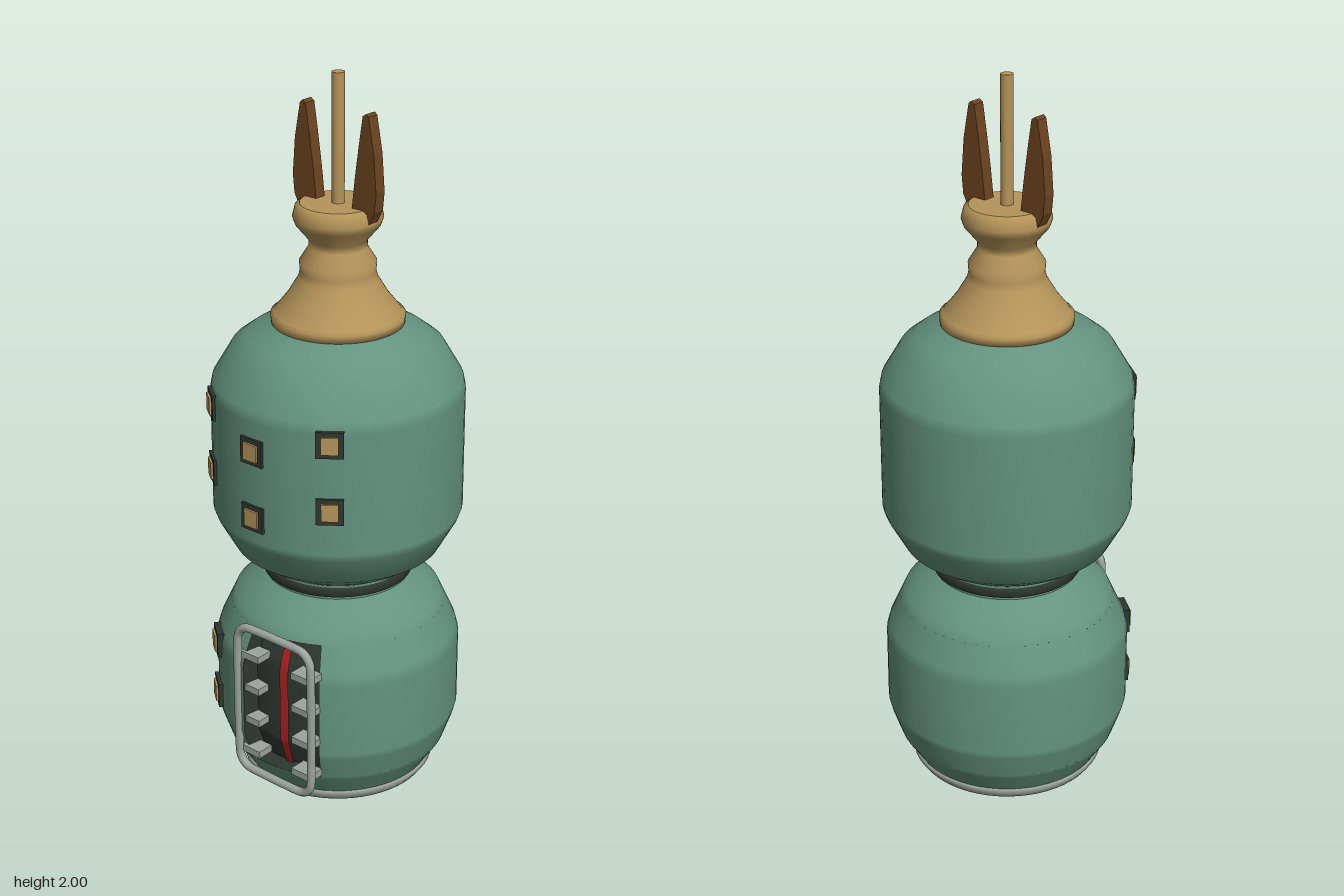
import * as THREE from 'three';

const mat = (name, color, side = THREE.FrontSide) => {
  const m = new THREE.MeshStandardMaterial({ color, side });
  m.name = name;
  return m;
};

export function createModel() {
  const green = mat('shell green', 0x64937f);
  const gold = mat('brass', 0xb5945a);
  const brown = mat('horn brown', 0x6b4420);
  const grey = mat('pale metal', 0x9ca59f);
  const dark = mat('dark recess', 0x2f3731, THREE.DoubleSide);
  const red = mat('red strip', 0xa52222, THREE.DoubleSide);

  const model = new THREE.Group();
  model.name = 'lanternTower';
  const body = new THREE.Group();
  body.name = 'body';
  body.position.z = -0.008;
  model.add(body);

  const add = (name, geometry, material, parent = body) => {
    const m = new THREE.Mesh(geometry, material);
    m.name = name;
    parent.add(m);
    return m;
  };
  const lathe = (name, pts, material, start = 0, length = Math.PI * 2) =>
    add(name, new THREE.LatheGeometry(pts.map(p => new THREE.Vector2(...p)),
      Math.max(3, Math.round(length * 9)), start, length), material);

  // Lower shell, with a doorway left out of its middle band
  const lower = [[0.26, 0.03], [0.305, 0.1], [0.333, 0.18], [0.338, 0.2], [0.338, 0.41],
    [0.33, 0.44], [0.285, 0.54], [0.245, 0.575], [0.2, 0.605]];
  const radiusAt = y => {
    const i = lower.findIndex(p => p[1] >= y);
    const [r0, y0] = lower[i - 1], [r1, y1] = lower[i];
    return r0 + (r1 - r0) * (y - y0) / (y1 - y0);
  };
  const Y0 = 0.11, Y1 = 0.515, DEPTH = 0.05;
  const A0 = Math.asin(-0.055 / 0.338), A1 = Math.asin(0.178 / 0.338);
  const band = [[radiusAt(Y0), Y0], ...lower.filter(p => p[1] > Y0 && p[1] < Y1), [radiusAt(Y1), Y1]];
  const inset = d => band.map(([r, y]) => [r - d, y]);
  lathe('lowerShellBottom', [...lower.filter(p => p[1] < Y0), band[0]], green);
  lathe('lowerShellBand', band, green, A1, Math.PI * 2 - (A1 - A0));
  lathe('lowerShellTop', [band[band.length - 1], ...lower.filter(p => p[1] > Y1)], green);

  // Recess: back wall, sill, lintel and side walls
  lathe('recessBack', inset(DEPTH), dark, A0, A1 - A0);
  for (const [r, y] of [band[0], band[band.length - 1]])
    lathe('recessLedge', [[r - DEPTH, y], [r, y]], dark, A0, A1 - A0);
  const wall = new THREE.Shape([...band, ...inset(DEPTH).reverse()].map(p => new THREE.Vector2(...p)));
  for (const a of [A0, A1])
    add('recessSide', new THREE.ShapeGeometry(wall), dark).rotation.y = a - Math.PI / 2;
  const redAngle = Math.asin(0.055 / 0.295);
  lathe('redStrip', inset(DEPTH - 0.008), red, redAngle - 0.045, 0.09);

  // Base disc and metal ring
  lathe('baseDisc', [[0, 0.004], [0.225, 0.004], [0.262, 0.035]], green);
  lathe('baseRing', [[0.225, 0], [0.255, 0.004], [0.268, 0.022], [0.266, 0.034], [0.255, 0.038]], grey);

  // Neck bands between the shells
  lathe('neck', [[0.2, 0.6], [0.2, 0.655]], green);
  lathe('neckBand', [[0.195, 0.612], [0.206, 0.614], [0.206, 0.638], [0.195, 0.64]], dark);

  // Upper shell
  lathe('upperShell', [[0.2, 0.645], [0.245, 0.672], [0.285, 0.7], [0.332, 0.785], [0.341, 0.81],
    [0.341, 1.15], [0.335, 1.18], [0.285, 1.265], [0.24, 1.3], [0.17, 1.338]], green);

  // Brass cap, turned in sections so the rims stay crisp
  lathe('capRim', [[0.16, 1.332], [0.177, 1.334], [0.179, 1.355], [0.167, 1.365]], gold);
  lathe('capCone', [[0.167, 1.364], [0.135, 1.405], [0.105, 1.455], [0.1, 1.475], [0.102, 1.5],
    [0.077, 1.54], [0.077, 1.56], [0.112, 1.602], [0.119, 1.622], [0.112, 1.65], [0.098, 1.658]], gold);
  lathe('capTop', [[0.1, 1.658], [0, 1.658]], gold);
  add('mast', new THREE.CylinderGeometry(0.017, 0.017, 0.36, 20), gold).position.y = 1.82;

  // Pair of curved horns
  for (const side of [-1, 1]) {
    const pts = [[0.057, 1.625], [0.118, 1.625], [0.135, 1.66], [0.14, 1.71], [0.132, 1.81], [0.114, 1.905],
      [0.106, 1.912], [0.095, 1.905], [0.083, 1.83], [0.07, 1.74], [0.063, 1.68]];
    const shape = new THREE.Shape(pts.map(([x, y]) => new THREE.Vector2(x * side, y)));
    const geo = new THREE.ExtrudeGeometry(shape, { depth: 0.034, bevelEnabled: false });
    add(side > 0 ? 'leftHorn' : 'rightHorn', geo, brown).position.z = -0.017;
  }

  // Square windows set radially on the shells: [x, y]
  const windows = [[0, 1.07], [0, 0.88], [0.205, 1.125], [0.205, 0.937],
    [-0.205, 1.125], [-0.205, 0.937], [-0.212, 0.403], [-0.212, 0.243]];
  for (const [x, y] of windows) {
    const g = new THREE.Group();
    g.name = 'window';
    g.position.y = y;
    g.rotation.y = Math.asin(x / 0.341);
    body.add(g);
    add('windowFrame', new THREE.BoxGeometry(0.073, 0.073, 0.03), dark, g).position.z = 0.332;
    add('windowPane', new THREE.BoxGeometry(0.045, 0.048, 0.008), gold, g).position.z = 0.349;
  }

  // Rounded doorway frame standing just proud of the shell
  const hw = 0.131, hh = 0.222, c = 0.045, cx = 0.055, cy = 0.31;
  const path = new THREE.CurvePath();
  const corners = [[1, 1, 0], [-1, 1, 1], [-1, -1, 2], [1, -1, 3]];
  const pts = [];
  for (const [sx, sy, q] of corners)
    for (let i = 0; i <= 6; i++) {
      const a = (q + i / 6) * Math.PI / 2;
      pts.push(new THREE.Vector3(cx + sx * (hw - c) + c * Math.cos(a), cy + sy * (hh - c) + c * Math.sin(a), 0.33));
    }
  pts.forEach((p, i) => path.add(new THREE.LineCurve3(p, pts[(i + 1) % pts.length])));
  const loop = new THREE.CatmullRomCurve3(path.curves.map(l => l.v1), true, 'centripetal');
  add('doorFrame', new THREE.TubeGeometry(loop, 120, 0.012, 10, true), grey);

  // Short brackets reaching in from both sides of the frame
  for (const y of [0.14, 0.24, 0.34, 0.44])
    for (const x of [-0.037, 0.147])
      add('bracket', new THREE.BoxGeometry(0.066, 0.02, 0.05), grey).position.set(x, y, 0.303);

  return model;
}
